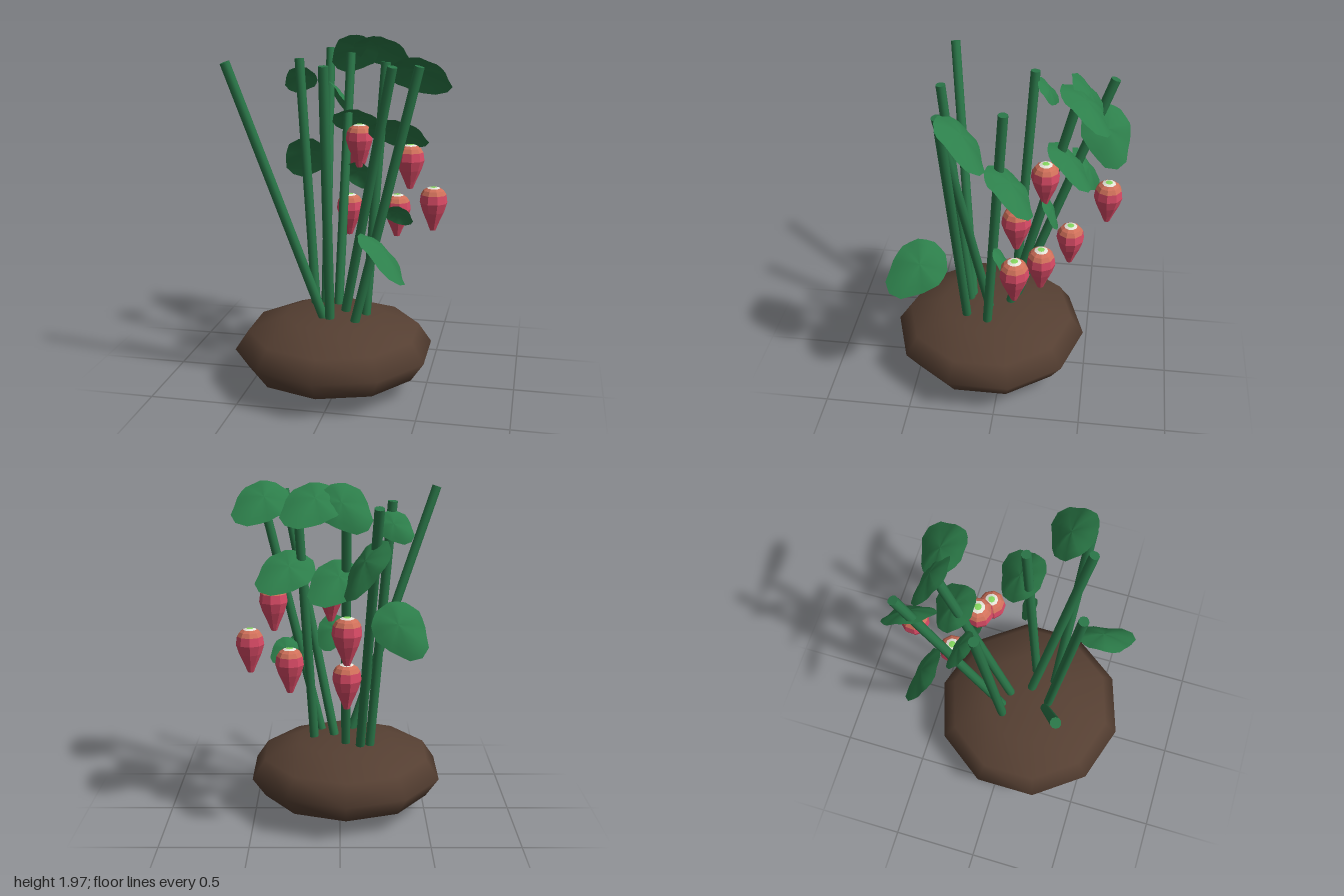
import * as THREE from 'three';

const mat = (name, color) => {
  const m = new THREE.MeshStandardMaterial({ color });
  m.name = name;
  return m;
};
const V = (a) => new THREE.Vector3(...a);

// Stem: a thin rod between two points
function makeStem(from, to, material) {
  const a = V(from), b = V(to);
  const dir = b.clone().sub(a);
  const mesh = new THREE.Mesh(new THREE.CylinderGeometry(0.027, 0.027, dir.length(), 10), material);
  mesh.position.copy(a).add(b).multiplyScalar(0.5);
  mesh.quaternion.setFromUnitVectors(new THREE.Vector3(0, 1, 0), dir.normalize());
  mesh.name = 'stem';
  return mesh;
}

// Leaf: a domed, softly rippled teardrop from base to tip, facing along a normal
function makeLeaf(base, tip, facing, material) {
  const origin = V(base);
  const axis = V(tip).sub(origin);
  const len = axis.length();
  axis.normalize();
  const n = V(facing);
  n.addScaledVector(axis, -n.dot(axis)).normalize();
  const side = n.clone().cross(axis);
  const rings = 4, seg = 20, pos = [], index = [];
  for (let i = 0; i <= rings; i++) {
    const rho = i / rings;
    for (let j = 0; j < seg; j++) {
      const t = (j / seg) * Math.PI * 2;
      const r = 0.39 + 0.22 * Math.pow(Math.max(0, Math.cos(t)), 6) + (j % 2 ? 0.012 : 0);
      const u = 0.39 + rho * r * Math.cos(t);
      const w = rho * r * Math.sin(t);
      const h = 0.09 * (1 - rho * rho) + 0.015 * rho * Math.sin(5 * t + 1);
      const p = origin.clone().addScaledVector(axis, u * len)
        .addScaledVector(side, w * len).addScaledVector(n, h * len);
      pos.push(p.x, p.y, p.z);
      if (i < rings) {
        const k = (j + 1) % seg;
        const a = i * seg + j, b = i * seg + k, c = a + seg, d = b + seg;
        index.push(a, c, d);
        if (i > 0) index.push(a, d, b);
      }
    }
  }
  const g = new THREE.BufferGeometry();
  g.setAttribute('position', new THREE.Float32BufferAttribute(pos, 3));
  g.setIndex(index);
  g.computeVertexNormals();
  const mesh = new THREE.Mesh(g, material);
  mesh.name = 'leaf';
  return mesh;
}

// Faceted band of a berry, turned from [radius, height] points
function makeBand(name, profile, material) {
  const lathe = new THREE.LatheGeometry(profile.map(([r, y]) => new THREE.Vector2(r, y)), 9);
  const g = lathe.toNonIndexed();
  g.computeVertexNormals();
  const mesh = new THREE.Mesh(g, material);
  mesh.name = name;
  return mesh;
}

export function createModel() {
  const soilMat = mat('soil brown', 0x553f32);
  const stemMat = mat('stem green', 0x2a7648);
  const leafMat = mat('leaf green', 0x2d7f4b);
  leafMat.side = THREE.DoubleSide;
  const berryMat = mat('berry red', 0xd84a65);
  const shoulderMat = mat('berry shoulder salmon', 0xd0705a);
  const crownMat = mat('berry crown white', 0xe6e4da);
  const budMat = mat('berry bud green', 0x86d860);

  const model = new THREE.Group();
  model.name = 'berryPlant';

  // Soil mound
  const soil = new THREE.Mesh(new THREE.SphereGeometry(0.57, 10, 6), soilMat);
  soil.name = 'soil';
  soil.rotation.y = Math.PI / 2;
  soil.scale.y = 0.225 / 0.57;
  soil.position.set(-0.033, 0.225, 0.085);
  model.add(soil);

  // Stems
  const stems = new THREE.Group();
  stems.name = 'stems';
  [
    [[-0.06, 0.4, 0.19], [-0.56, 1.87, 0.345]],
    [[-0.033, 0.4, 0.2], [-0.033, 1.86, 0.338]],
    [[0.025, 0.4, 0.075], [0.32, 1.86, 0.297]],
    [[0.105, 0.4, 0.205], [0.455, 1.86, 0.255]],
    [[0.15, 0.4, 0.08], [0.235, 1.85, -0.028]],
    [[-0.17, 0.4, -0.05], [-0.28, 1.85, -0.14]],
    [[-0.115, 0.4, -0.06], [-0.193, 1.87, -0.575]],
    [[-0.033, 0.4, -0.03], [-0.033, 1.86, -0.4]],
  ].forEach(([a, b]) => stems.add(makeStem(a, b, stemMat)));
  model.add(stems);

  // Leaves: base, tip, facing
  const leaves = new THREE.Group();
  leaves.name = 'leaves';
  [
    [[0.33, 1.88, 0.255], [0.58, 1.7, 0.045], [0, 0.75, -0.66]],
    [[0.2, 0.97, 0.33], [0.415, 0.785, 0.585], [0.68, 0.73, 0]],
    [[0.26, 1.04, 0.01], [0.38, 0.93, -0.07], [0, 0.57, -0.82]],
    [[0.18, 1.52, 0.03], [0.44, 1.36, -0.18], [0, 0.8, -0.6]],
    [[0.03, 1.94, -0.33], [0.275, 1.78, -0.55], [0, 0.8, -0.6]],
    [[0.08, 1.94, -0.37], [-0.14, 1.75, -0.51], [0, 0.6, -0.8]],
    [[-0.22, 1.33, -0.37], [-0.425, 1.09, -0.515], [0, 0.55, -0.83]],
    [[-0.08, 1.53, -0.26], [0.14, 1.36, -0.47], [0, 0.77, -0.64]],
    [[-0.22, 1.78, -0.165], [-0.375, 1.65, -0.26], [0, 0.6, -0.8]],
    [[-0.22, 1.7, -0.49], [-0.035, 1.41, -0.615], [0.75, 0.5, -0.4]],
    [[0, 1.24, -0.22], [0.09, 1.07, -0.31], [0, 0.5, -0.85]],
  ].forEach(([b, t, n]) => leaves.add(makeLeaf(b, t, n, leafMat)));
  model.add(leaves);

  // Berries: position of the lowest point
  [
    [0.05, 1.215, -0.235],
    [0.365, 1.13, -0.115],
    [0.5, 0.89, -0.12],
    [-0.035, 0.765, -0.38],
    [-0.035, 1.07, -0.578],
    [0.275, 0.81, -0.24],
  ].forEach((p, i) => {
    const berry = new THREE.Group();
    berry.name = 'berry';
    berry.add(
      makeBand('berryBody', [[0, 0], [0.017, 0.002], [0.034, 0.045], [0.063, 0.11], [0.08, 0.165], [0.073, 0.212]], berryMat),
      makeBand('berryShoulder', [[0.073, 0.212], [0.058, 0.235], [0.038, 0.248]], shoulderMat),
      makeBand('berryCrown', [[0.038, 0.248], [0.02, 0.254]], crownMat),
      makeBand('berryBud', [[0.02, 0.254], [0, 0.256]], budMat)
    );
    berry.position.set(...p);
    berry.rotation.y = i * 0.9;
    model.add(berry);
  });

  return model;
}
